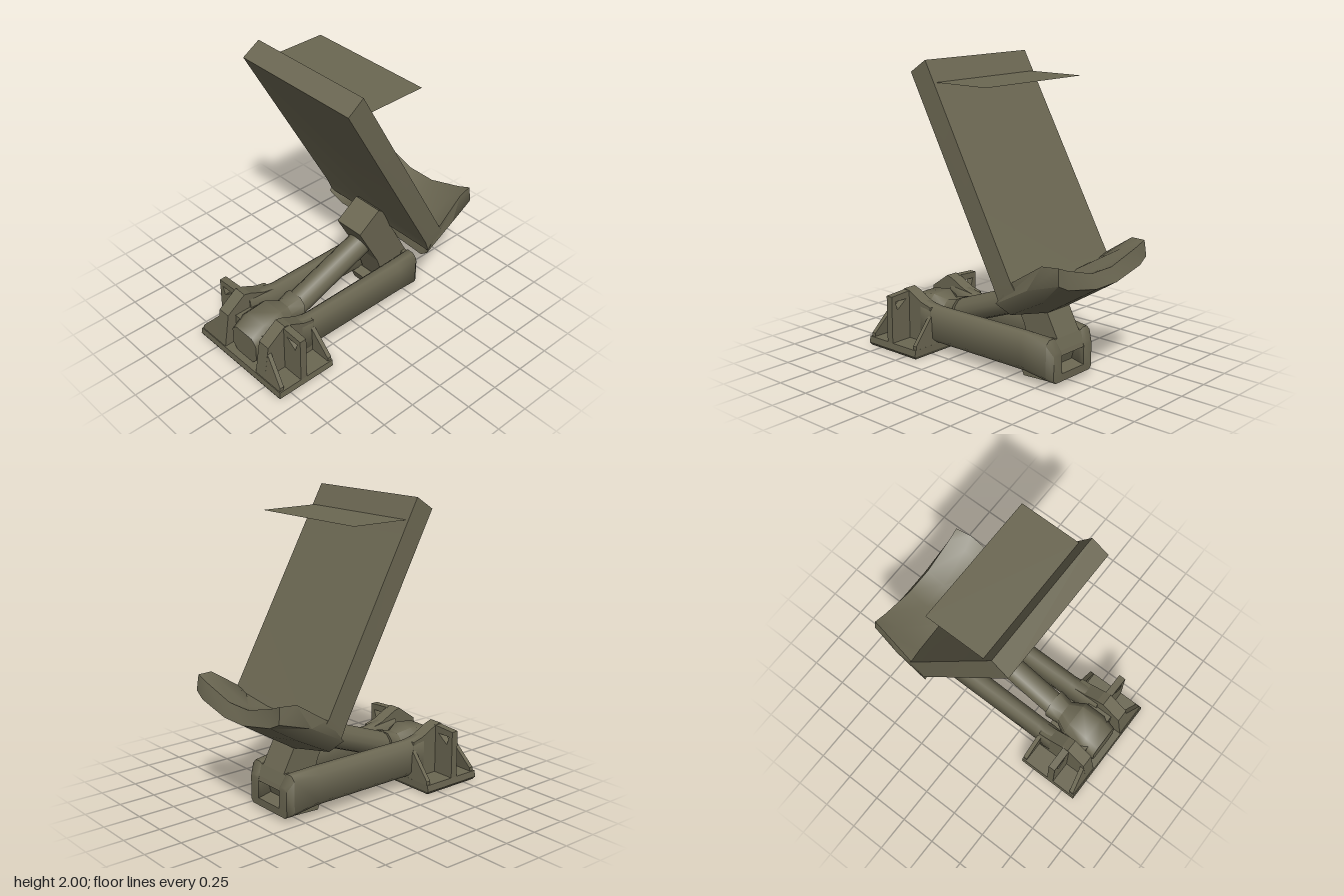
import * as THREE from 'three';
import { toCreasedNormals } from 'three/addons/utils/BufferGeometryUtils.js';

const olive = new THREE.MeshStandardMaterial({ color: 0x6b6752, side: THREE.DoubleSide });
olive.name = 'olive drab';

function add(parent, name, geometry) {
  const mesh = new THREE.Mesh(geometry, olive);
  mesh.name = name;
  parent.add(mesh);
}

const vectors = (points) => points.map((p) => new THREE.Vector2(...p));

// Side profile in x,y extruded from z0 to z1
function slab(points, z0, z1) {
  return new THREE.ExtrudeGeometry(new THREE.Shape(vectors(points)), { depth: z1 - z0, bevelEnabled: false })
    .translate(0, 0, z0);
}

// Closed solid through rings of [x, y, z] points, faces turned outward
function loft(rings, crease) {
  const n = rings[0].length, last = rings.length - 1, tris = [];
  const quad = (a, b, c, d) => tris.push([a, b, c], [a, c, d]);
  for (let r = 0; r < last; r++)
    for (let i = 0; i < n; i++) {
      const j = (i + 1) % n;
      quad(rings[r][i], rings[r][j], rings[r + 1][j], rings[r + 1][i]);
    }
  for (let i = 0; i < n / 2 - 1; i++) {
    const k = n - 1 - i;
    quad(rings[0][i], rings[0][k], rings[0][k - 1], rings[0][i + 1]);
    quad(rings[last][i], rings[last][i + 1], rings[last][k - 1], rings[last][k]);
  }
  let volume = 0;
  for (const [a, b, c] of tris)
    volume += new THREE.Vector3(...a).dot(new THREE.Vector3(...b).cross(new THREE.Vector3(...c)));
  if (volume < 0) tris.forEach((t) => t.reverse());
  const geometry = new THREE.BufferGeometry();
  geometry.setAttribute('position', new THREE.Float32BufferAttribute(tris.flat(2), 3));
  return toCreasedNormals(geometry, crease);
}

// Eight-sided section across x: centre y,z with half sizes and a corner cut
function section(x, cy, cz, hy, hz, cut) {
  const a = hy - cut, b = hz - cut;
  return [[-hy, -b], [-a, -hz], [a, -hz], [hy, -b], [hy, b], [a, hz], [-a, hz], [-hy, b]]
    .map(([y, z]) => [x, cy + y, cz + z]);
}

// Rod between two x,y points on the centre plane
function rod(from, to, radius) {
  const a = new THREE.Vector3(...from, 0), b = new THREE.Vector3(...to, 0);
  const turn = new THREE.Quaternion().setFromUnitVectors(new THREE.Vector3(0, 1, 0), b.clone().sub(a).normalize());
  return new THREE.CylinderGeometry(radius, radius, a.distanceTo(b), 12)
    .applyQuaternion(turn).translate((a.x + b.x) / 2, (a.y + b.y) / 2, 0);
}

export function createModel() {
  const model = new THREE.Group();
  model.name = 'pedalAssembly';

  // Foot plate with a slightly narrower underside
  const plateRing = (x0, x1, y, w) => [[x0, y, -w], [x0, y, w], [x1, y, w], [x1, y, -w]];
  add(model, 'footPlate', loft([
    plateRing(-0.84, -0.41, 0, 0.4),
    plateRing(-0.85, -0.4, 0.02, 0.415),
    plateRing(-0.845, -0.4, 0.065, 0.41),
  ], 0.4));

  for (const s of [1, -1]) {
    const tag = s > 0 ? 'left' : 'right';
    // Upright cheek of the base bracket
    const [z0, z1] = s > 0 ? [0.16, 0.25] : [-0.25, -0.16];
    add(model, tag + 'Bracket', slab([[-0.84, 0.06], [-0.8, 0.31], [-0.66, 0.41], [-0.61, 0.395],
      [-0.5, 0.34], [-0.42, 0.32], [-0.4, 0.06]], z0, z1));

    // Outer web with a triangular opening
    const web = new THREE.Shape(vectors([[0.24, 0.06], [0.41, 0.06], [0.41, 0.39], [0.24, 0.4]]));
    web.holes.push(new THREE.Path(vectors([[0.28, 0.35], [0.38, 0.35], [0.36, 0.29]])));
    add(model, tag + 'Web', new THREE.ExtrudeGeometry(web, { depth: 0.05, bevelEnabled: false })
      .rotateY(-s * Math.PI / 2).translate(s > 0 ? -0.62 : -0.67, 0, 0));

    // Sloping ribs from the cheek down to the plate, leaning with its ends
    for (const [x, lean] of [[-0.84, 0.035], [-0.43, -0.01]])
      add(model, tag + 'Rib', loft([x, x + 0.03].map((x0) => [[x0, 0.06, s * 0.24], [x0, 0.06, s * 0.4],
        [x0 + lean * 0.15, 0.09, s * 0.4], [x0 + lean, 0.27, s * 0.24]]), 0.3));

    // Long side arm, drawn inward at the far pivot
    add(model, tag + 'Arm', loft([
      section(-0.62, 0.22, s * 0.195, 0.14, 0.045, 0.03),
      section(-0.46, 0.205, s * 0.195, 0.13, 0.06, 0.035),
      section(-0.38, 0.2, s * 0.19, 0.125, 0.055, 0.035),
      section(0.38, 0.2, s * 0.185, 0.125, 0.06, 0.035),
      section(0.56, 0.175, s * 0.165, 0.135, 0.055, 0.03),
      section(0.6, 0.13, s * 0.15, 0.1, 0.04, 0.02),
    ], 0.9));
  }

  // Cross pieces tying the arms together
  add(model, 'pivotTray', slab([[0.3, 0.09], [0.33, 0.015], [0.6, 0.03], [0.6, 0.08], [0.36, 0.12]], -0.16, 0.16));
  add(model, 'endBar', slab([[0.52, 0.2], [0.6, 0.2], [0.59, 0.23], [0.56, 0.3], [0.52, 0.3]], -0.14, 0.14));
  add(model, 'baseAxle', new THREE.BoxGeometry(0.18, 0.16, 0.36).translate(-0.65, 0.2, 0));

  // Diagonal actuator: fat body, neck and rod
  add(model, 'actuatorBody', loft([
    section(-0.8, 0.17, 0, 0.1, 0.12, 0.04),
    section(-0.7, 0.2, 0, 0.13, 0.135, 0.05),
    section(-0.55, 0.22, 0, 0.13, 0.13, 0.05),
    section(-0.46, 0.23, 0, 0.09, 0.08, 0.04),
    section(-0.36, 0.26, 0, 0.085, 0.095, 0.04),
  ], 0.9));
  add(model, 'actuatorRod', rod([-0.45, 0.22], [0.32, 0.51], 0.085));

  // Tilting link between the arms and the panel
  add(model, 'tiltLink', slab([[0.12, 0.65], [0.29, 0.34], [0.37, 0.1], [0.5, 0.09], [0.56, 0.3],
    [0.42, 0.56], [0.36, 0.72], [0.29, 0.77]], -0.11, 0.11));

  // Leaning panel, a little wider toward the bottom
  const panelRing = (xo, yo, xi, yi, w) => [[xo, yo, -w], [xo, yo, w], [xi, yi, w - 0.005], [xi, yi, 0.005 - w]];
  add(model, 'panel', loft([
    panelRing(-0.33, 1.92, -0.21, 2.0, 0.47),
    panelRing(0.36, 0.68, 0.49, 0.74, 0.48),
    panelRing(0.4, 0.585, 0.54, 0.66, 0.475),
  ], 0.5));

  // Level flap near the top of the panel
  add(model, 'flap', new THREE.PlaneGeometry(0.42, 0.9).rotateX(-Math.PI / 2).translate(0.07, 1.867, 0));

  // Curved scoop at the foot of the panel: three sections, each given from centre to side
  const row = (points) => [...points.map(([x, y, z]) => [x, y, -z]).reverse(), ...points];
  const scoopRing = (low, high) => [...row(low), ...row(high).reverse()];
  add(model, 'scoop', loft([
    scoopRing([[0.475, 0.45, 0.1], [0.42, 0.495, 0.39], [0.38, 0.58, 0.48]],
      [[0.5, 0.68, 0.1], [0.5, 0.705, 0.37], [0.5, 0.735, 0.47]]),
    scoopRing([[0.68, 0.575, 0.1], [0.66, 0.62, 0.38], [0.62, 0.71, 0.475]],
      [[0.67, 0.715, 0.1], [0.69, 0.81, 0.36], [0.71, 0.87, 0.45]]),
    scoopRing([[0.85, 0.68, 0.1], [0.84, 0.73, 0.36], [0.83, 0.77, 0.44]],
      [[0.81, 0.77, 0.1], [0.815, 0.84, 0.34], [0.82, 0.875, 0.43]]),
  ], 0.9));

  return model;
}
